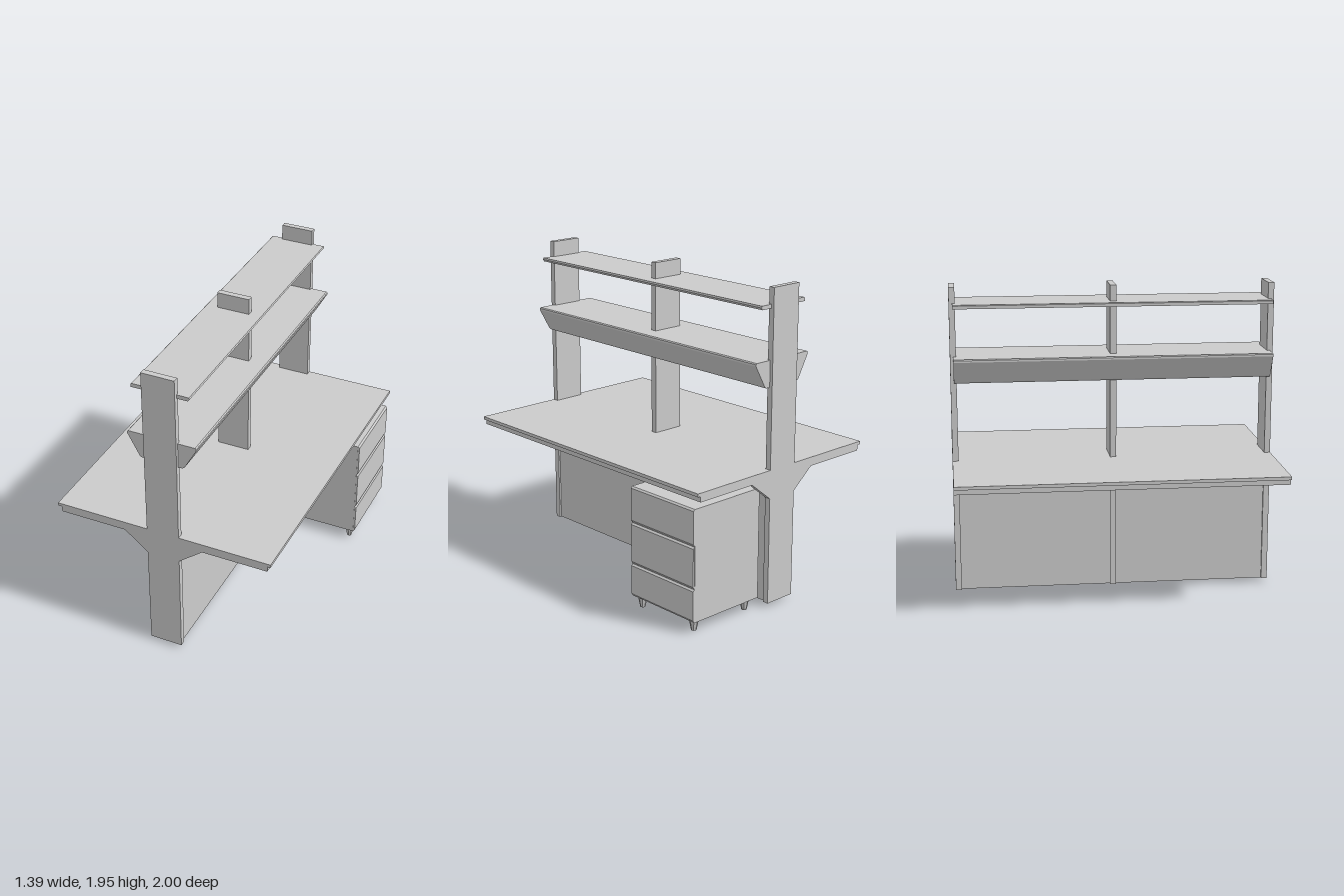
import * as THREE from 'three';

const material = new THREE.MeshStandardMaterial({ color: 0xcccccc, flatShading: true });

export function createModel() {
  const model = new THREE.Group();

  function add(name, geometry, parent = model) {
    const mesh = new THREE.Mesh(geometry, material);
    mesh.name = name;
    parent.add(mesh);
    return mesh;
  }

  // Box given by its limits on each axis
  function box(name, x0, x1, y0, y1, z0, z1, parent) {
    const mesh = add(name, new THREE.BoxGeometry(x1 - x0, y1 - y0, z1 - z0), parent);
    mesh.position.set((x0 + x1) / 2, (y0 + y1) / 2, (z0 + z1) / 2);
    return mesh;
  }

  // Outline in x and y, extruded from z0 to z1
  function profile(name, points, z0, z1, parent) {
    const shape = new THREE.Shape(points.map(([x, y]) => new THREE.Vector2(x, y)));
    const geometry = new THREE.ExtrudeGeometry(shape, { depth: z1 - z0, bevelEnabled: false });
    geometry.translate(0, 0, z0);
    return add(name, geometry, parent);
  }

  // Desktop in two layers
  box('desktop', -0.7, 0.69, 0.845, 0.865, -1, 1);
  box('desktopUnderlayer', -0.675, 0.67, 0.81, 0.845, -1, 1);

  // Upright posts with a sloping brace on both sides
  const posts = [['backPost', -1, -0.963], ['middlePost', -0.019, 0.019], ['frontPost', 0.963, 1]];
  for (const [name, z0, z1] of posts) {
    profile(name, [
      [-0.1, 0.025], [0.107, 0.025], [0.107, 0.69], [0.26, 0.812], [0.107, 0.812],
      [0.107, 1.945], [-0.1, 1.945], [-0.1, 0.812], [-0.25, 0.812], [-0.1, 0.69],
    ], z0, z1);
  }

  // Closed core below the desktop
  box('corePanel', -0.088, 0.095, 0.027, 0.81, -0.963, 0.963);

  // Upper shelf with chamfered long edges
  profile('upperShelf', [
    [-0.175, 1.822], [0.177, 1.822], [0.187, 1.836], [0.183, 1.846],
    [-0.17, 1.846], [-0.175, 1.841],
  ], -0.98, 0.98);

  // Lower shelf with sloping sides
  profile('lowerShelf', [
    [-0.125, 1.36], [0.135, 1.36], [0.147, 1.37], [0.222, 1.503], [0.222, 1.515], [0.215, 1.521],
    [-0.205, 1.521], [-0.211, 1.515], [-0.211, 1.503], [-0.137, 1.37],
  ], -0.98, 0.98);

  // Drawer cabinet
  const cabinet = new THREE.Group();
  cabinet.name = 'drawerCabinet';
  model.add(cabinet);
  box('cabinetBody', 0.16, 0.68, 0.07, 0.762, -0.967, -0.437, cabinet);

  // Drawer fronts with bevelled top and bottom edges
  for (const [y0, y1] of [[0.07, 0.275], [0.277, 0.535], [0.537, 0.762]]) {
    profile('drawerFront', [
      [0.68, y0], [0.691, y0 + 0.015], [0.691, y1 - 0.01], [0.68, y1],
    ], -0.965, -0.439, cabinet);
  }

  // Tapered feet
  for (const x of [0.225, 0.64]) {
    for (const z of [-0.92, -0.482]) {
      add('cabinetFoot', new THREE.CylinderGeometry(0.03, 0.016, 0.07, 8), cabinet)
        .position.set(x, 0.035, z);
    }
  }

  return model;
}
